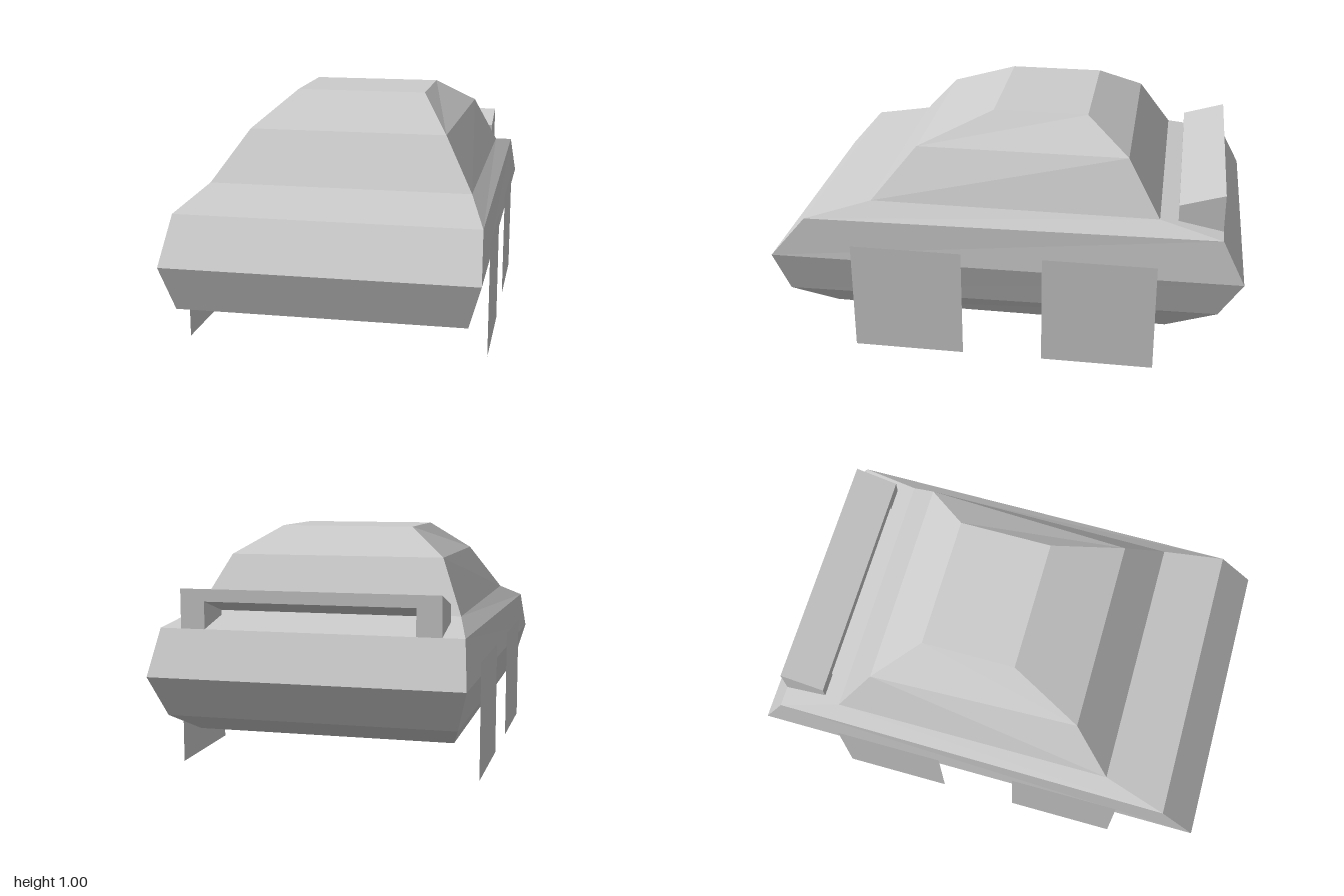
import * as THREE from 'three';

const grey = new THREE.MeshStandardMaterial({ color: 0xcccccc, flatShading: true });
grey.name = 'grey';
const greySheet = new THREE.MeshStandardMaterial({ color: 0xcccccc, flatShading: true, side: THREE.DoubleSide });
greySheet.name = 'grey sheet';

// Four-cornered hoops from floor to roof: front [x, y, z], back [x, y, z]
const hoops = [
  { f: [0.54, 0.16, 0.75], b: [0.54, 0.16, -0.69] },
  { f: [0.585, 0.23, 0.945], b: [0.59, 0.26, -0.905] },
  { f: [0.637, 0.415, 1], b: [0.637, 0.43, -1] },
  { f: [0.625, 0.595, 0.845], b: [0.615, 0.615, -0.905] },
  { f: [0.553, 0.665, 0.57], b: [0.555, 0.665, -0.645] },
  { f: [0.424, 0.87, 0.395], b: [0.456, 0.885, -0.505] },
  { f: [0.288, 1, 0.085], b: [0.288, 1, -0.318] },
];

const mirror = ([x, y, z]) => [-x, y, z];

function bodyGeometry(list) {
  const pos = [];
  // Quad counter-clockwise from outside, split from a to c
  const quad = (a, b, c, d) => pos.push(...a, ...b, ...c, ...a, ...c, ...d);
  for (let i = 0; i < list.length - 1; i++) {
    const { f, b } = list[i];
    const { f: F, b: B } = list[i + 1];
    quad(mirror(f), f, F, mirror(F)); // front
    quad(b, mirror(b), mirror(B), B); // back
    quad(f, b, B, F); // left side
    quad(mirror(B), mirror(b), mirror(f), mirror(F)); // right side
  }
  const lo = list[0], hi = list[list.length - 1];
  quad(mirror(lo.b), lo.b, lo.f, mirror(lo.f)); // floor
  quad(mirror(hi.f), hi.f, hi.b, mirror(hi.b)); // roof
  const g = new THREE.BufferGeometry();
  g.setAttribute('position', new THREE.Float32BufferAttribute(pos, 3));
  g.computeVertexNormals();
  return g;
}

// Extrudes a side profile of [z, y] points across x0..x1
function acrossX(profile, x0, x1) {
  const shape = new THREE.Shape(profile.map(([z, y]) => new THREE.Vector2(-z, y)));
  const g = new THREE.ExtrudeGeometry(shape, { depth: x1 - x0, bevelEnabled: false });
  return g.rotateY(Math.PI / 2).translate(x0, 0, 0);
}

export function createModel() {
  const model = new THREE.Group();
  model.name = 'car';
  const add = (name, geometry, material = grey) => {
    const mesh = new THREE.Mesh(geometry, material);
    mesh.name = name;
    model.add(mesh);
    return mesh;
  };

  add('body', bodyGeometry(hoops));

  // Rear wing: sloping plate on two wide legs
  const half = 0.527, legWidth = 0.1;
  add('wingPlate', acrossX([[-0.72, 0.67], [-0.905, 0.725], [-0.905, 0.775], [-0.72, 0.72]], -half + legWidth, half - legWidth));
  const leg = [[-0.72, 0.645], [-0.905, 0.615], [-0.905, 0.775], [-0.72, 0.72]];
  add('wingLegLeft', acrossX(leg, half - legWidth, half));
  add('wingLegRight', acrossX(leg, -half, -half + legWidth));

  // Flat square wheel panels
  for (const [side, x] of [['Left', 0.638], ['Right', -0.638]]) {
    for (const [end, z] of [['front', 0.41], ['rear', -0.41]]) {
      const wheel = add(`${end}Wheel${side}`, new THREE.PlaneGeometry(0.477, 0.483), greySheet);
      wheel.rotation.y = Math.sign(x) * Math.PI / 2;
      wheel.position.set(x, 0.2415, z);
    }
  }
  return model;
}
